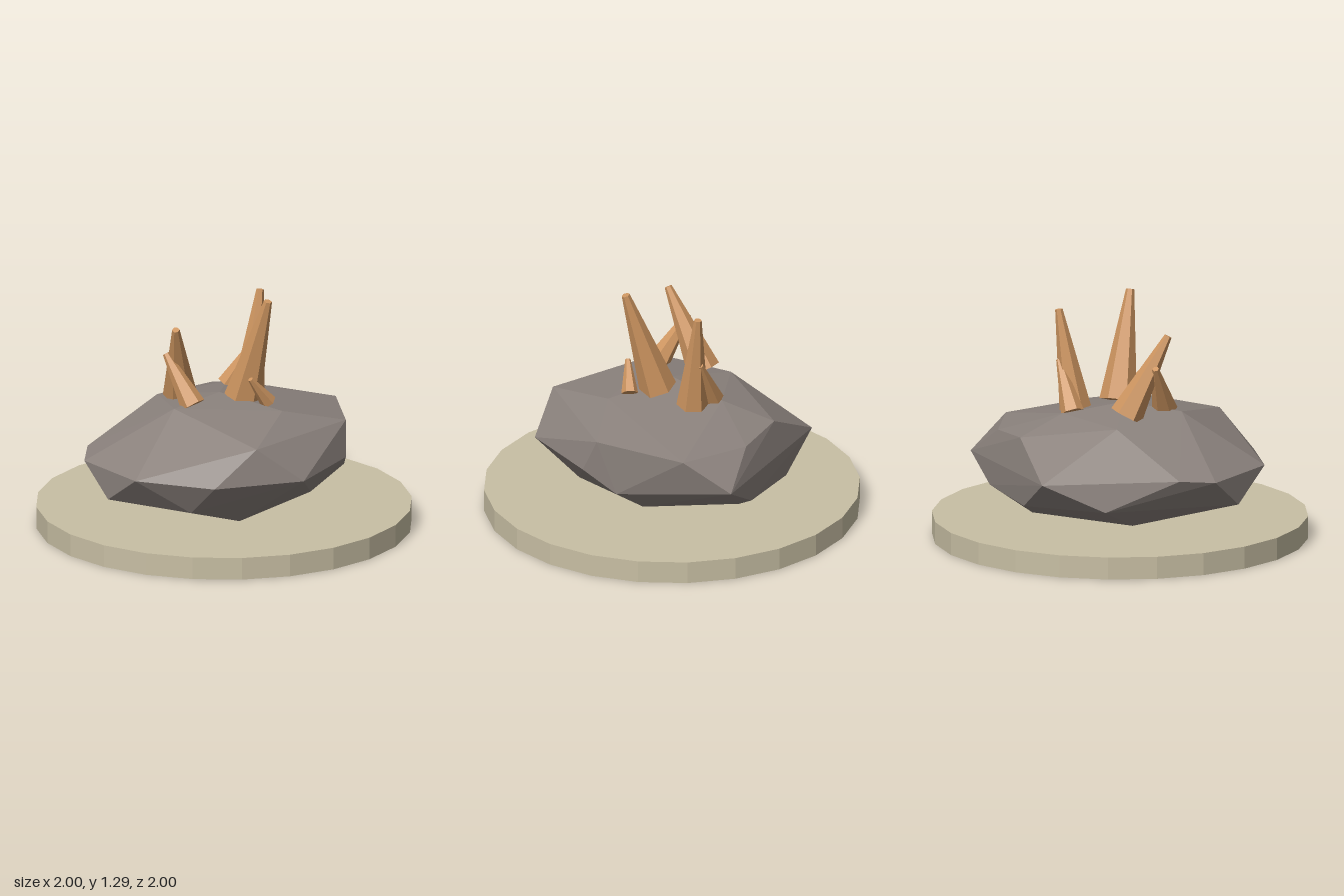
import * as THREE from 'three';
import { ConvexGeometry } from 'three/addons/geometries/ConvexGeometry.js';

const mat = (name, color) => {
  const m = new THREE.MeshStandardMaterial({ color, flatShading: true });
  m.name = name;
  return m;
};

export function createModel() {
  const group = new THREE.Group();
  const sand = mat('sand', 0xc8bfa4);
  const stone = mat('stone grey', 0x8a817c);
  const amber = mat('amber', 0xcd9560);
  const add = (name, geometry, material) => {
    const mesh = new THREE.Mesh(geometry, material);
    mesh.name = name;
    group.add(mesh);
    return mesh;
  };

  // Round base with 24 sides
  add('base', new THREE.CylinderGeometry(1, 1, 0.12, 24), sand).position.y = 0.06;

  // Faceted boulder: hull of a few rings of corner points
  const corners = [
    // crown
    [-0.03, 0.735, 0], [-0.36, 0.715, 0.05], [0.13, 0.69, 0.35], [-0.2, 0.67, -0.33], [0.2, 0.69, -0.25],
    // shoulder
    [-0.225, 0.607, 0.615], [0.48, 0.6, 0.44], [0.727, 0.575, 0], [0.545, 0.575, -0.35], [0.29, 0.6, -0.52],
    // waist
    [0, 0.42, 0.73], [0.43, 0.42, 0.51], [0.785, 0.41, -0.25], [0, 0.42, -0.745], [-0.625, 0.45, -0.37],
    [-0.755, 0.43, -0.217], [-0.755, 0.435, 0.25], [-0.47, 0.42, 0.575], [0.54, 0.32, 0.34],
    // underside
    [-0.755, 0.27, 0], [0.58, 0.275, -0.375], [0.22, 0.25, -0.59], [-0.3, 0.28, -0.59], [0.2, 0.27, 0.51],
    [-0.5, 0.25, 0.4], [0.45, 0.2, 0.19], [0.34, 0.147, -0.33], [-0.155, 0.132, 0.36], [-0.28, 0.15, -0.3],
    [0, 0.122, 0],
  ];
  add('boulder', new ConvexGeometry(corners.map((p) => new THREE.Vector3(...p))), stone);

  // Tapered six-sided spikes running from a base point to a tip
  const up = new THREE.Vector3(0, 1, 0);
  const spike = (name, from, to, rBase, rTip) => {
    const a = new THREE.Vector3(...from);
    const axis = new THREE.Vector3(...to).sub(a);
    const length = axis.length();
    const mesh = add(name, new THREE.CylinderGeometry(rTip, rBase, length, 6), amber);
    mesh.position.copy(a).addScaledVector(axis, 0.5);
    mesh.quaternion.setFromUnitVectors(up, axis.normalize());
  };
  spike('frontSpike', [0.065, 0.715, 0.08], [0.105, 1.28, 0.255], 0.1, 0.022);
  spike('frontSpikeShoot', [0.12, 0.715, 0.235], [0.005, 0.86, 0.235], 0.045, 0.014);
  spike('leftSpike', [0.225, 0.685, -0.09], [0.315, 1.215, -0.112], 0.085, 0.02);
  spike('leftSpikeShoot', [0.17, 0.69, -0.2], [0.305, 0.945, -0.125], 0.062, 0.016);
  spike('rightSpike', [-0.16, 0.71, -0.18], [-0.31, 1.13, -0.005], 0.09, 0.02);
  spike('rightSpikeShoot', [-0.245, 0.715, 0.06], [-0.3, 0.97, -0.11], 0.068, 0.018);

  return group;
}
